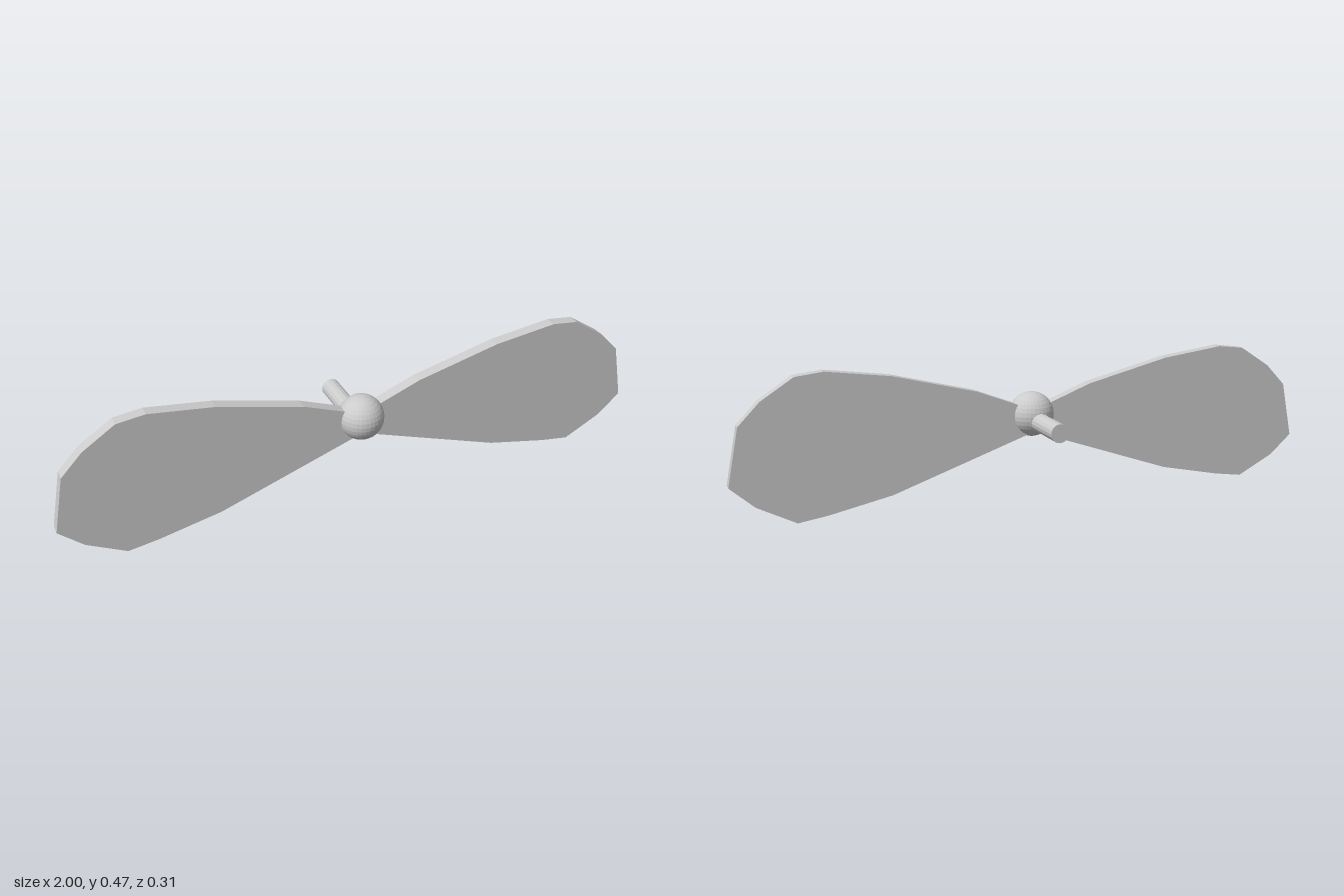
import * as THREE from 'three';

const material = new THREE.MeshStandardMaterial({ color: 0xcccccc, flatShading: true });

// Blade outline for the +x side, from the hub along the lower edge and back over the top
const OUTLINE = [
  [0.0, 0.235], [0.03, 0.22], [0.487, 0.062], [0.695, 0.018], [0.795, 0.003],
  [0.922, 0.068], [1.0, 0.137], [0.963, 0.325], [0.893, 0.398], [0.787, 0.467],
  [0.695, 0.478], [0.483, 0.45], [0.2, 0.38], [0.07, 0.33], [0.0, 0.302],
];

function makeBlade(name, side) {
  // Mirror by x; the shape's winding is corrected when it is extruded
  const shape = new THREE.Shape(OUTLINE.map(([x, y]) => new THREE.Vector2(x * side, y)));
  const geometry = new THREE.ExtrudeGeometry(shape, { depth: 0.04, bevelEnabled: false });
  const blade = new THREE.Mesh(geometry, material);
  blade.name = name;
  blade.position.z = 0.054;
  return blade;
}

export function createModel() {
  const group = new THREE.Group();
  group.name = 'propeller';

  // Two mirrored flat blades
  group.add(makeBlade('leftBlade', 1), makeBlade('rightBlade', -1));

  // Round hub in front
  const hub = new THREE.Mesh(new THREE.SphereGeometry(0.075, 32, 16), material);
  hub.name = 'hub';
  hub.position.set(0, 0.287, 0.082);
  group.add(hub);

  // Drive shaft running back from the hub
  const back = -0.157, front = 0.07;
  const shaft = new THREE.Mesh(new THREE.CylinderGeometry(0.031, 0.031, front - back, 16), material);
  shaft.name = 'shaft';
  shaft.rotation.x = Math.PI / 2;
  shaft.position.set(-0.005, 0.268, (front + back) / 2);
  group.add(shaft);

  return group;
}
